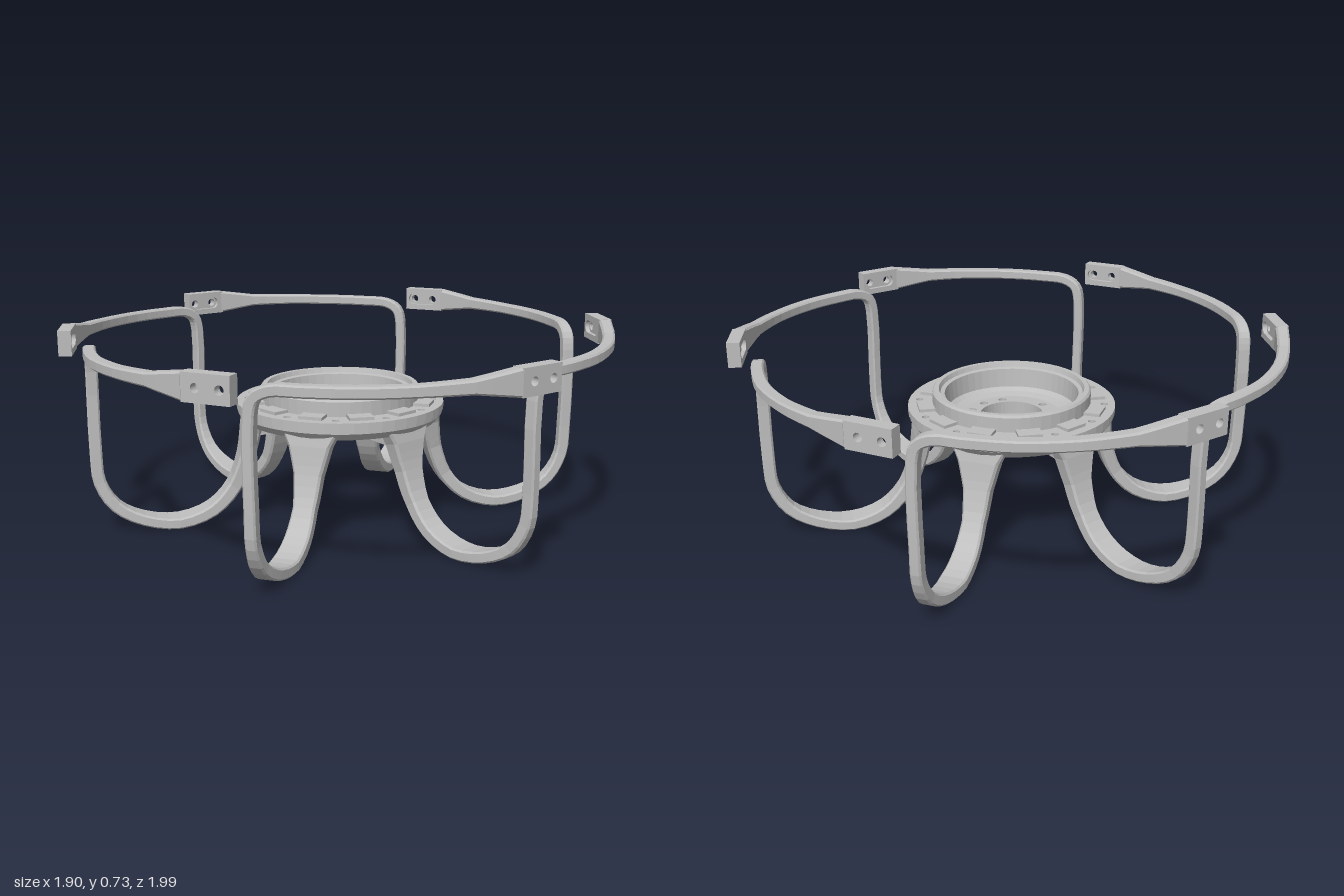
import * as THREE from 'three';

const metal = new THREE.MeshStandardMaterial({ color: 0xbebebe, flatShading: true });
metal.name = 'light grey metal';

const ARM_ANGLES = [17, 77, 137, 197, 257, 317];
const rad = THREE.MathUtils.degToRad;

function mesh(name, geometry) {
  const m = new THREE.Mesh(geometry, metal);
  m.name = name;
  return m;
}

function circlePath(x, y, r) {
  return new THREE.Path().absarc(x, y, r, 0, Math.PI * 2, true);
}

// Flat horizontal ring with round holes, given as [angle in degrees, radius, hole size]
function ringPlate(name, outer, inner, y0, y1, holes) {
  const shape = new THREE.Shape().absarc(0, 0, outer, 0, Math.PI * 2, false);
  shape.holes.push(circlePath(0, 0, inner));
  for (const [a, r, s] of holes) {
    shape.holes.push(circlePath(Math.cos(rad(a)) * r, -Math.sin(rad(a)) * r, s));
  }
  const g = new THREE.ExtrudeGeometry(shape, { depth: y1 - y0, bevelEnabled: false, curveSegments: 24 });
  g.rotateX(-Math.PI / 2);
  g.translate(0, y0, 0);
  return mesh(name, g);
}

function lathe(name, profile) {
  return mesh(name, new THREE.LatheGeometry(profile.map(([r, y]) => new THREE.Vector2(r, y)), 48));
}

// Point on the rim, d degrees round from the arm's own post
function rim(d, r, y) {
  return [r * Math.cos(rad(d)), y, -r * Math.sin(rad(d))];
}

const PAD_Y = 0.695;
const padStart = rim(50, 0.973, PAD_Y);
const padEnd = rim(59.3, 0.975, PAD_Y);

// Arm centreline: x, y, z, width, thickness
const POST = 9;
const armRows = [
  [0.325, 0.43, 0, 0.22, 0.05],
  [0.335, 0.36, 0, 0.15, 0.06],
  [0.355, 0.26, 0, 0.1, 0.055],
  [0.40, 0.15, 0, 0.08, 0.05],
  [0.48, 0.067, 0, 0.088, 0.045],
  [0.60, 0.027, 0, 0.094, 0.04],
  [0.73, 0.045, 0, 0.074, 0.04],
  [0.828, 0.1, 0, 0.052, 0.042],
  [0.88, 0.19, 0, 0.04, 0.044],
  [0.889, 0.3, 0, 0.038, 0.044],
  [0.889, 0.6, 0, 0.038, 0.044],
  [0.89, 0.655, -0.016, 0.038, 0.044],
  [0.892, 0.682, -0.065, 0.038, 0.042],
  [...rim(10, 0.907, 0.686), 0.038, 0.042],
  [...rim(20, 0.929, 0.688), 0.038, 0.042],
  [...rim(31, 0.945, 0.691), 0.038, 0.042],
  [...rim(41, 0.957, 0.694), 0.046, 0.044],
  [...padStart, 0.09, 0.046],
];

// Chamfered rectangle swept along the arm, turning from the radial plane onto the rim
function armGeometry() {
  const path = new THREE.CatmullRomCurve3(armRows.map((p) => new THREE.Vector3(p[0], p[1], p[2])));
  const last = armRows.length - 1;
  const steps = last * 3;
  const positions = [];
  const index = [];
  for (let i = 0; i <= steps; i++) {
    const u = i / steps;
    const k = Math.min(Math.floor(i / 3), last - 1);
    const f = i / 3 - k;
    const w = THREE.MathUtils.lerp(armRows[k][3], armRows[k + 1][3], f) / 2;
    const t = THREE.MathUtils.lerp(armRows[k][4], armRows[k + 1][4], f) / 2;
    const p = path.getPoint(u);
    const along = path.getTangent(u);
    const across = new THREE.Vector3(0, 0, 1);
    if (k >= POST) across.set(p.x, 0, p.z).normalize().cross(along).normalize();
    const out = along.clone().cross(across).normalize();
    const c = Math.min(w, t) * 0.3;
    const section = [
      [w, -t + c], [w, t - c], [w - c, t], [-w + c, t],
      [-w, t - c], [-w, -t + c], [-w + c, -t], [w - c, -t],
    ];
    for (const [a, b] of section) {
      positions.push(...p.clone().addScaledVector(across, a).addScaledVector(out, b).toArray());
    }
  }
  for (let i = 0; i < steps; i++) {
    for (let j = 0; j < 8; j++) {
      const a = i * 8 + j;
      const b = i * 8 + (j + 1) % 8;
      index.push(a, b, b + 8, a, b + 8, a + 8);
    }
  }
  const end = steps * 8;
  for (let j = 1; j < 7; j++) index.push(0, j + 1, j, end, end + j, end + j + 1);
  const g = new THREE.BufferGeometry();
  g.setAttribute('position', new THREE.Float32BufferAttribute(positions, 3));
  g.setIndex(index);
  g.computeVertexNormals();
  return g;
}

// Mounting pad at the end of the rim: two bolt holes, sunk in a slot on the inner face
function mountingPad() {
  const dx = padEnd[0] - padStart[0];
  const dz = padEnd[2] - padStart[2];
  const len = Math.hypot(dx, dz);
  const holeX = [len - 0.115, len - 0.035];
  const layer = (name, z0, z1, holes) => {
    const shape = new THREE.Shape();
    shape.moveTo(-0.004, -0.045).lineTo(len, -0.045).lineTo(len, 0.045).lineTo(-0.004, 0.045).closePath();
    shape.holes.push(...holes);
    const g = new THREE.ExtrudeGeometry(shape, { depth: z1 - z0, bevelEnabled: false, curveSegments: 10 });
    return mesh(name, g.translate(0, 0, z0));
  };
  const slot = new THREE.Path();
  slot.absarc(holeX[1], 0, 0.023, Math.PI / 2, -Math.PI / 2, true);
  slot.absarc(holeX[0], 0, 0.023, -Math.PI / 2, -Math.PI * 1.5, true);
  const pad = new THREE.Group();
  pad.name = 'mountingPad';
  pad.add(layer('padInnerFace', -0.023, -0.008, [slot]));
  pad.add(layer('padOuterFace', -0.008, 0.023, holeX.map((x) => circlePath(x, 0, 0.015))));
  pad.position.set(...padStart);
  pad.rotation.y = Math.atan2(-dz, dx);
  return pad;
}

export function createModel() {
  const model = new THREE.Group();
  model.name = 'sixArmBasket';

  // Hub: raised rim with dished inside, bolt floor, flange and skirt
  const hub = new THREE.Group();
  hub.name = 'hub';
  hub.add(lathe('hubDish', [
    [0.185, 0.375], [0.25, 0.395], [0.29, 0.43], [0.29, 0.507], [0.283, 0.515], [0.266, 0.515],
    [0.26, 0.498], [0.245, 0.495], [0.238, 0.425], [0.22, 0.413], [0.185, 0.405], [0.185, 0.375],
  ]));
  const boltAngles = [0, 45, 75, 105, 168, 228, 258, 288];
  hub.add(ringPlate('hubFloor', 0.19, 0.115, 0.375, 0.405, boltAngles.map((a) => [a, 0.152, 0.015])));
  hub.add(lathe('centreCollar', [
    [0.115, 0.34], [0.13, 0.34], [0.13, 0.41], [0.115, 0.41], [0.115, 0.34],
  ]));
  const rimAngles = Array.from({ length: 12 }, (_, i) => i * 30 + 2);
  hub.add(ringPlate('flange', 0.38, 0.28, 0.43, 0.455, rimAngles.map((a) => [a, 0.34, 0.013])));
  hub.add(lathe('flangeSkirt', [
    [0.335, 0.39], [0.355, 0.39], [0.375, 0.415], [0.375, 0.432], [0.335, 0.432], [0.335, 0.39],
  ]));

  // Raised tabs between the flange holes
  for (const a of rimAngles) {
    const tab = mesh('flangeTab', new THREE.BoxGeometry(0.06, 0.014, 0.085));
    const b = rad(a + 15);
    tab.position.set(Math.cos(b) * 0.315, 0.459, Math.sin(b) * 0.315);
    tab.rotation.y = -b;
    hub.add(tab);
  }
  model.add(hub);

  // Six arms, each with a leg, post, rim arc, pad and a pair of ribs under the hub
  const geometry = armGeometry();
  for (const angle of ARM_ANGLES) {
    const arm = new THREE.Group();
    arm.name = 'arm';
    arm.add(mesh('armBar', geometry), mountingPad());
    for (const side of [-1, 1]) {
      const rib = mesh('hubRib', new THREE.BoxGeometry(0.16, 0.05, 0.018));
      rib.position.set(0.26, 0.375, side * 0.052);
      rib.rotation.y = -side * 0.15;
      arm.add(rib);
    }
    arm.rotation.y = -rad(angle);
    model.add(arm);
  }
  return model;
}
